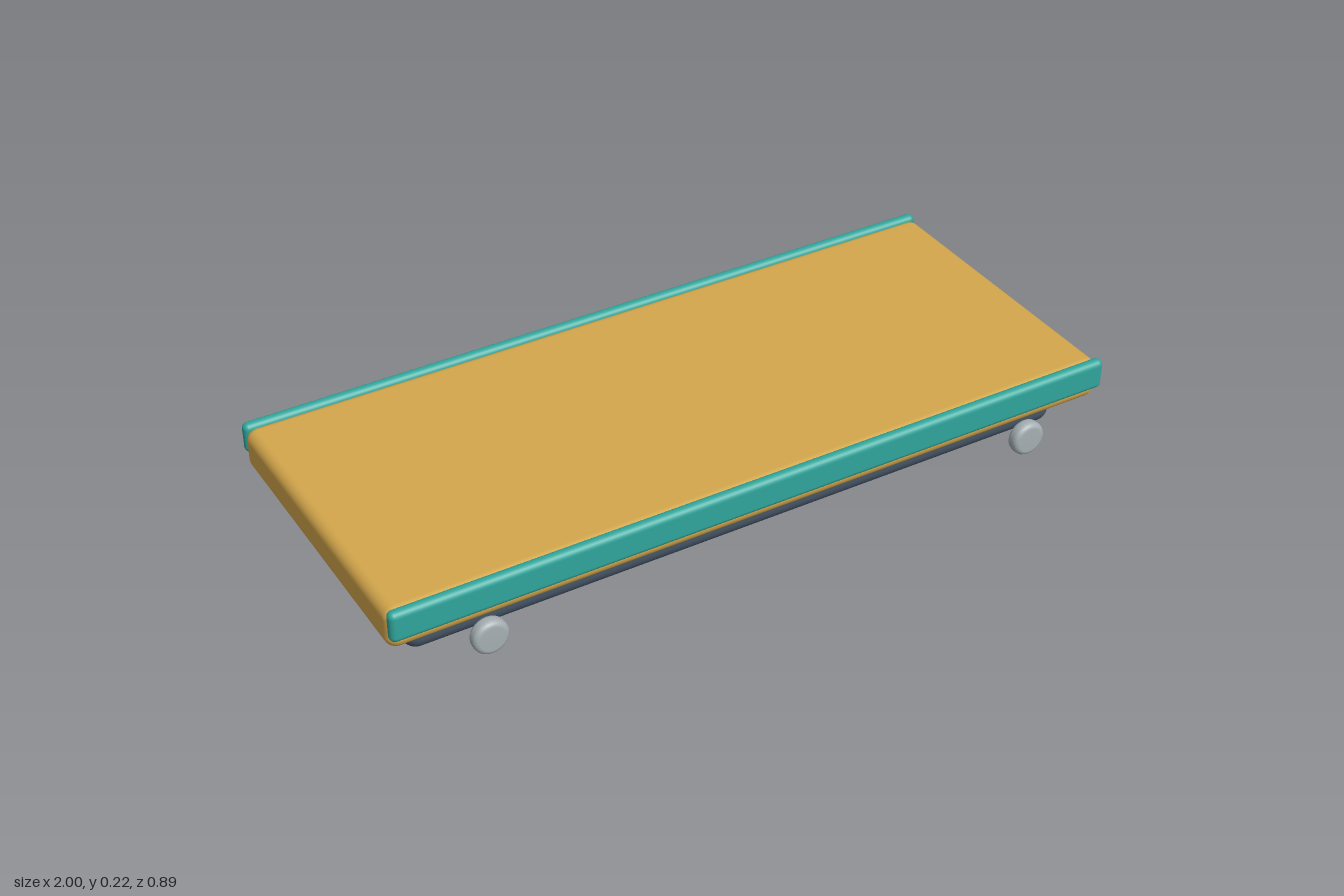
import * as THREE from 'three';
import { RoundedBoxGeometry } from 'three/addons/geometries/RoundedBoxGeometry.js';

function material(name, color) {
  const m = new THREE.MeshStandardMaterial({ color });
  m.name = name;
  return m;
}

export function createModel() {
  const group = new THREE.Group();
  group.name = 'platform';
  const gold = material('gold', 0xd4a74c);
  const slate = material('slate', 0x465566);
  const teal = material('teal', 0x30a69c);
  const grey = material('light grey', 0xa6afb3);

  function add(name, geometry, mat, x, y, z) {
    const mesh = new THREE.Mesh(geometry, mat);
    mesh.name = name;
    mesh.position.set(x, y, z);
    group.add(mesh);
    return mesh;
  }

  // Recessed base and the wide deck on top of it
  add('base', new RoundedBoxGeometry(1.85, 0.12, 0.684, 5, 0.038), slate, 0, 0.062, -0.01);
  add('deck', new RoundedBoxGeometry(2, 0.112, 0.835, 5, 0.03), gold, 0, 0.155, -0.01);

  // Side rails along both long edges
  const rail = new RoundedBoxGeometry(2, 0.084, 0.032, 5, 0.0155);
  add('frontRail', rail, teal, 0, 0.178, 0.409);
  add('backRail', rail, teal, 0, 0.178, -0.428);

  // Round discs with softly rounded rims, in front of the base
  const r = 0.047, h = 0.019, bevel = 0.014;
  const profile = [new THREE.Vector2(0, -h), new THREE.Vector2(r - bevel, -h)];
  for (const side of [-1, 1]) {
    for (let i = 0; i <= 4; i++) {
      const a = (side < 0 ? i - 4 : i) * Math.PI / 8;
      profile.push(new THREE.Vector2(
        r - bevel + bevel * Math.cos(a), side * (h - bevel) + bevel * Math.sin(a)));
    }
  }
  profile.splice(1, 1);
  profile.push(new THREE.Vector2(0, h));
  const disc = new THREE.LatheGeometry(profile, 28).rotateX(Math.PI / 2);
  add('leftWheel', disc, grey, 0.762, 0.069, 0.427);
  add('rightWheel', disc, grey, -0.762, 0.069, 0.427);

  return group;
}
